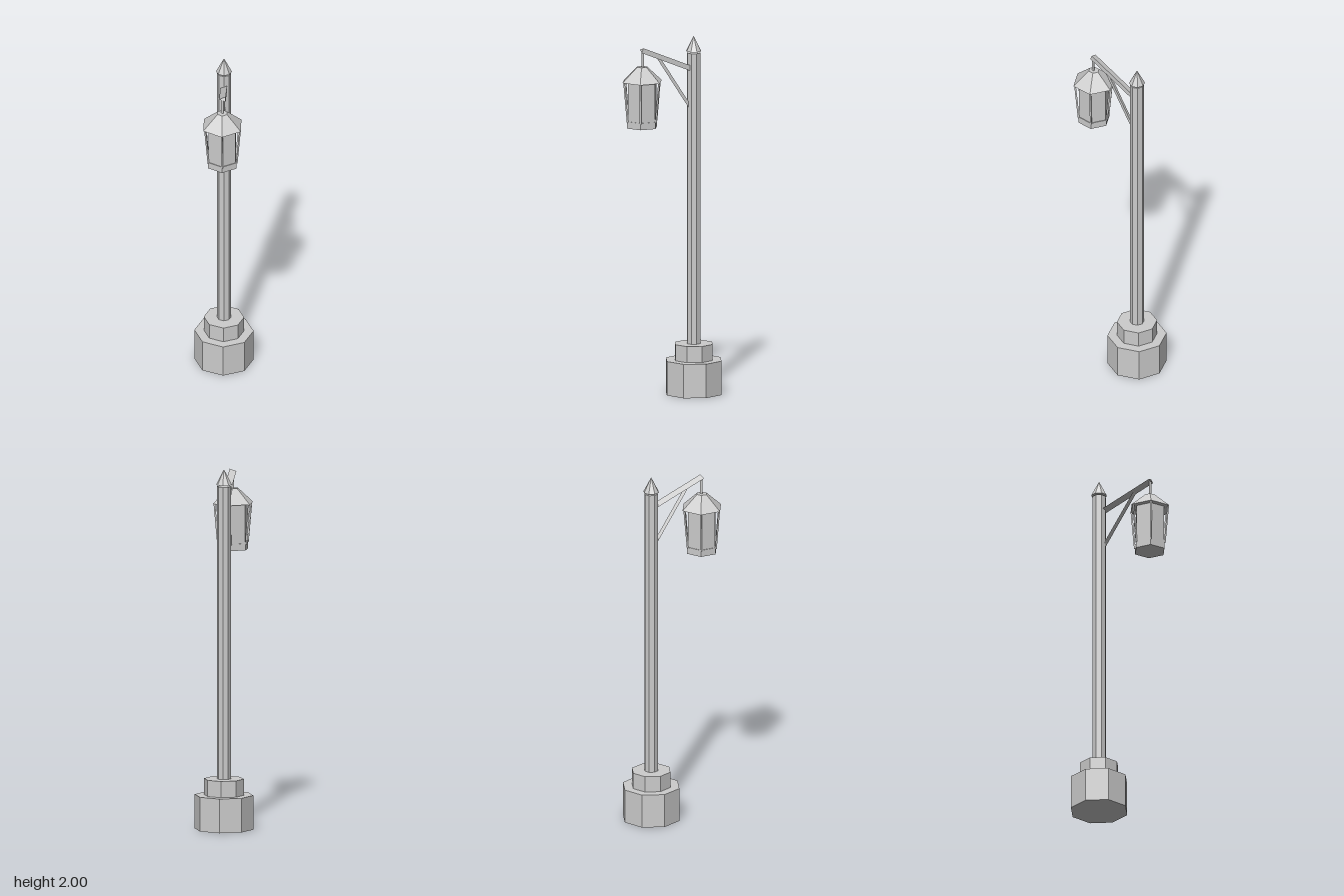
import * as THREE from 'three';

export function createModel() {
  const model = new THREE.Group();
  const iron = new THREE.MeshStandardMaterial({ color: 0xcccccc });
  const POST_Z = -0.135, LAMP_Z = 0.178;

  const add = (name, geometry, parent = model) => {
    const flat = geometry.toNonIndexed();
    flat.computeVertexNormals();
    const mesh = new THREE.Mesh(flat, iron);
    mesh.name = name;
    parent.add(mesh);
    return mesh;
  };

  // Upright prism or frustum between two heights
  const prism = (name, rTop, rBottom, y0, y1, sides, z, parent) =>
    add(name, new THREE.CylinderGeometry(rTop, rBottom, y1 - y0, sides)
      .translate(0, (y0 + y1) / 2, z), parent);

  // Three-sided bar in the x = 0 plane, from [z, y] to [z, y]
  const strut = (name, [z0, y0], [z1, y1], width, depth, parent) => {
    const dir = new THREE.Vector3(0, y1 - y0, z1 - z0);
    const length = dir.length();
    dir.normalize();
    const side = new THREE.Vector3(1, 0, 0);
    const r = width / 1.5;
    const geometry = new THREE.CylinderGeometry(r, r, length, 3, 1, false, -Math.PI / 2)
      .translate(r / 4, 0, 0)
      .scale(1, 1, depth / (r * Math.sqrt(3)));
    geometry.applyMatrix4(new THREE.Matrix4().makeBasis(side, dir, side.clone().cross(dir)));
    geometry.translate(0, (y0 + y1) / 2, (z0 + z1) / 2);
    return add(name, geometry, parent);
  };

  // Stepped plinth, post and pointed cap
  prism('plinth', 0.163, 0.163, 0, 0.19, 8, POST_Z);
  prism('plinthStep', 0.111, 0.111, 0.19, 0.28, 8, POST_Z);
  prism('post', 0.039, 0.039, 0.28, 1.905, 8, POST_Z);
  prism('postCap', 0, 0.044, 1.914, 2, 8, POST_Z);

  // Bracket carrying the lantern
  strut('arm', [-0.115, 1.82], [0.183, 1.944], 0.036, 0.028);
  strut('brace', [-0.105, 1.61], [0.082, 1.893], 0.02, 0.018);
  strut('hanger', [LAMP_Z, 1.84], [LAMP_Z, 1.94], 0.014, 0.014);

  // Hexagonal lantern
  const lantern = new THREE.Group();
  lantern.name = 'lantern';
  lantern.position.z = LAMP_Z;
  model.add(lantern);
  prism('lanternRoof', 0.03, 0.119, 1.768, 1.85, 6, 0, lantern);
  prism('lanternBody', 0.086, 0.086, 1.55, 1.768, 6, 0, lantern);
  prism('lanternBase', 0.09, 0.09, 1.512, 1.55, 6, 0, lantern);
  for (let i = 0; i < 6; i++) {
    const bar = strut('lanternBar', [0.09, 1.545], [0.111, 1.77], 0.01, 0.01, lantern);
    bar.rotation.y = i * Math.PI / 3;
  }
  return model;
}
